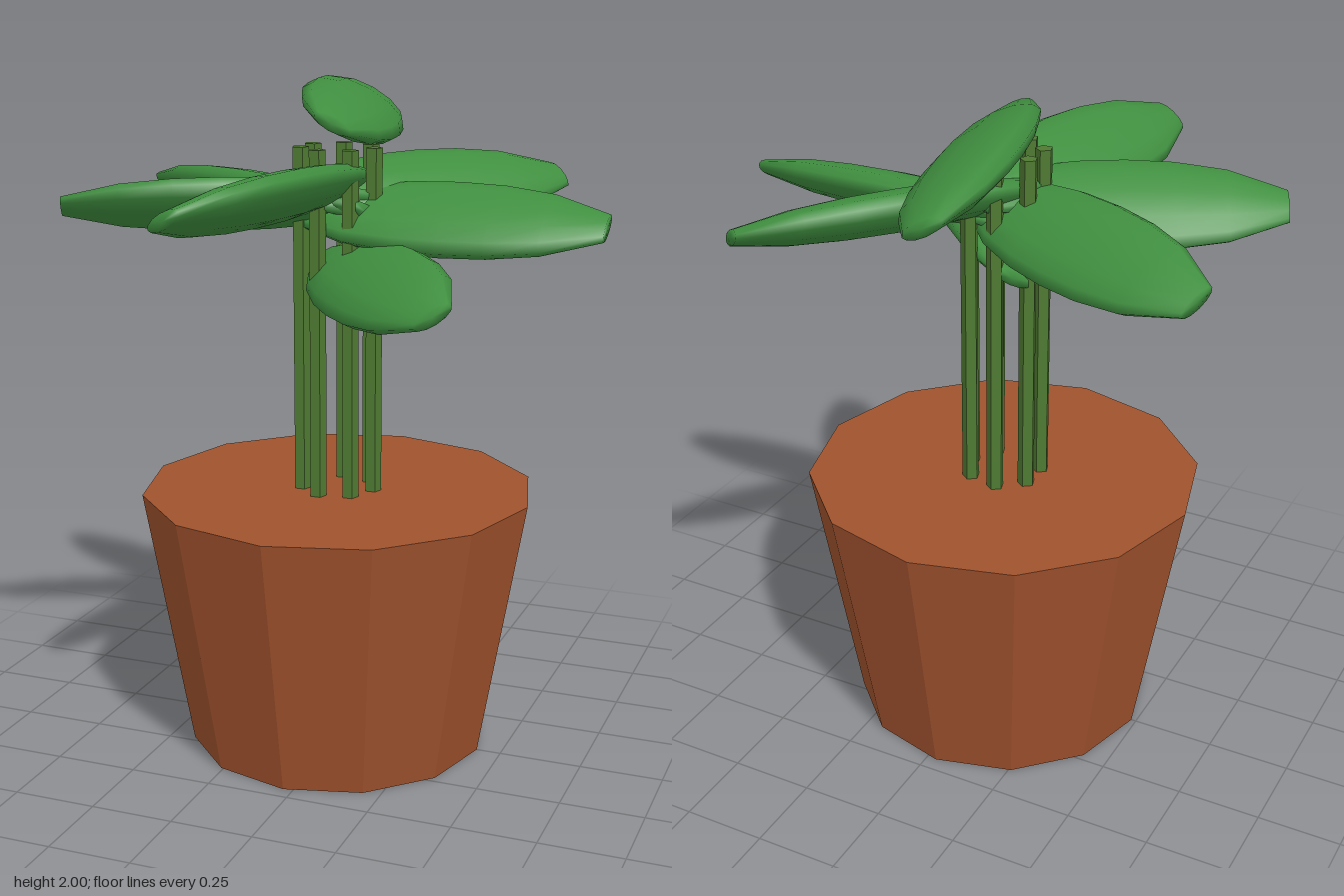
import * as THREE from 'three';

const CENTRE_X = -0.03;   // pot axis
const COUNT = 7;          // stems and leaves round the pot
const LEAF_HEIGHTS = [1.635, 1.485, 1.715, 1.665, 1.65, 1.905, 1.695];

const material = (color, flatShading) => new THREE.MeshStandardMaterial({ color, flatShading });

// Blunt-ended, flattened spindle lying along +x and rolled about its length
function leafGeometry() {
  const half = [[0, 0.46], [0.36, 0.46], [0.8, 0.29], [0.96, 0.14]];
  const profile = [
    ...half.map(([r, d]) => new THREE.Vector2(r, -d)),
    new THREE.Vector2(1, 0),
    ...half.slice().reverse().map(([r, d]) => new THREE.Vector2(r, d)),
  ];
  const geometry = new THREE.LatheGeometry(profile, 12);
  geometry.scale(0.06, 1, 0.1625);
  geometry.rotateZ(-Math.PI / 2);
  geometry.rotateX(0.5);
  geometry.translate(0.34, 0, 0);
  return geometry;
}

export function createModel() {
  const model = new THREE.Group();
  model.name = 'pottedPlant';

  const add = (name, geometry, mat, x, y, z) => {
    const mesh = new THREE.Mesh(geometry, mat);
    mesh.name = name;
    mesh.position.set(x, y, z);
    model.add(mesh);
    return mesh;
  };

  // Tapered twelve-sided pot
  add('pot', new THREE.CylinderGeometry(0.595, 0.455, 0.8, 12), material(0xa0522d, true), CENTRE_X, 0.4, 0);

  // Ring of five-sided stems, each with a leaf pointing outwards
  const stem = new THREE.CylinderGeometry(0.026, 0.026, 1.04, 5).rotateY(Math.PI);
  const leaf = leafGeometry();
  const stemMaterial = material(0x4f7a32, true);
  const leafMaterial = material(0x408f40, false);
  for (let i = 0; i < COUNT; i++) {
    const angle = (i / COUNT) * Math.PI * 2;
    add('stem' + (i + 1), stem, stemMaterial,
      CENTRE_X + 0.11 * Math.cos(angle), 1.31, 0.11 * Math.sin(angle));
    add('leaf' + (i + 1), leaf, leafMaterial, CENTRE_X, LEAF_HEIGHTS[i], 0).rotation.y = -angle;
  }
  return model;
}
